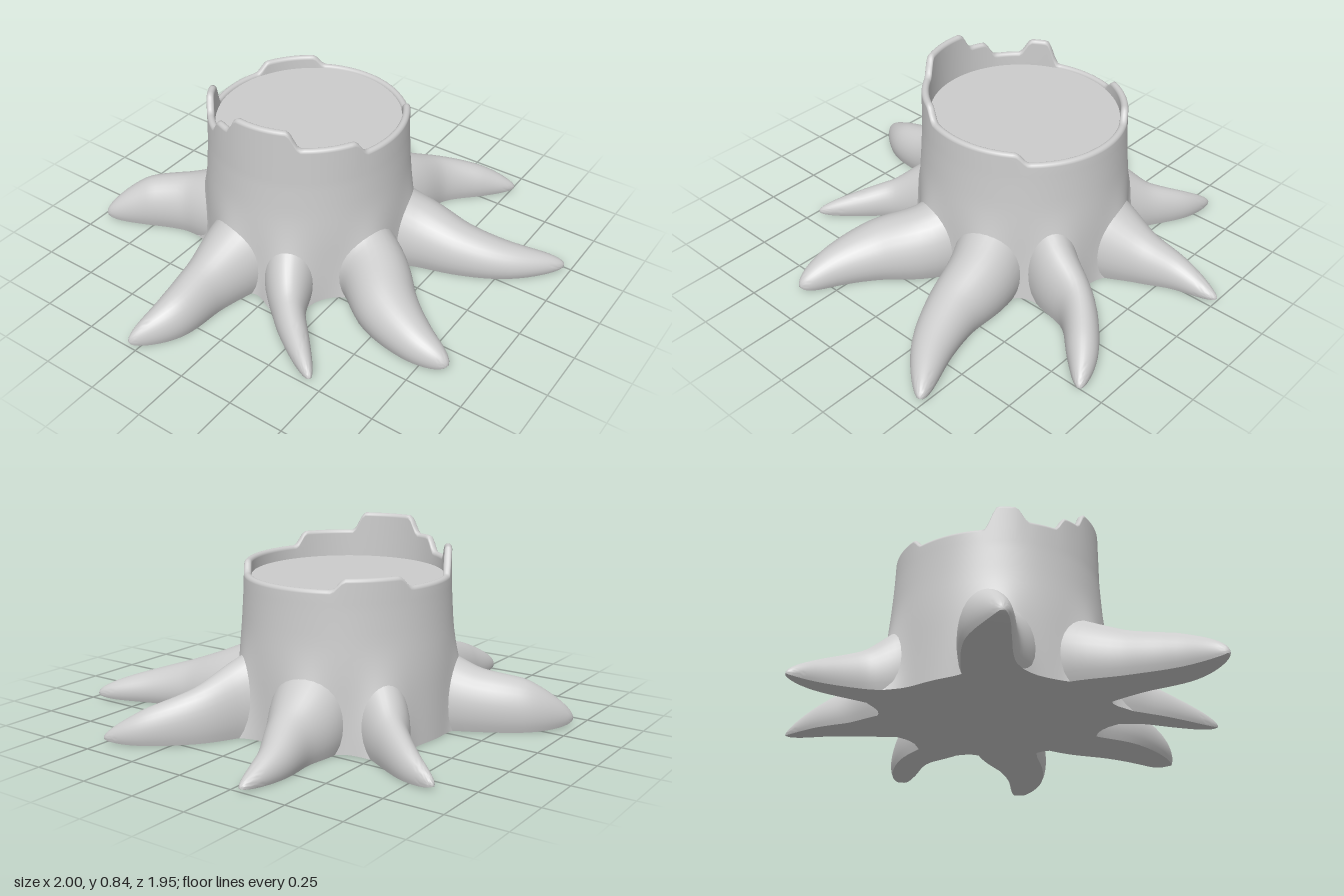
import * as THREE from 'three';
import { toCreasedNormals } from 'three/addons/utils/BufferGeometryUtils.js';

const CX = 0.055, CZ = -0.12, FLOOR = 0.642;

// Each root: stations of [x, z, half width, height] from trunk to tip
const ROOTS = {
  rootBackRight: [[-0.13, -0.47, 0.16, 0.33], [-0.18, -0.64, 0.12, 0.25], [-0.27, -0.81, 0.10, 0.21], [-0.41, -0.97, 0.045, 0.09]],
  rootBackLeft: [[0.33, -0.48, 0.11, 0.30], [0.42, -0.58, 0.075, 0.19], [0.52, -0.72, 0.052, 0.12], [0.58, -0.86, 0.024, 0.05]],
  rootLeft: [[0.50, -0.22, 0.16, 0.32], [0.65, -0.25, 0.105, 0.21], [0.80, -0.29, 0.07, 0.13], [1.0, -0.295, 0.03, 0.04]],
  rootFrontLeft: [[0.46, 0.14, 0.11, 0.32], [0.65, 0.22, 0.078, 0.22], [0.80, 0.37, 0.065, 0.14], [0.90, 0.51, 0.03, 0.05]],
  rootFrontA: [[0.23, 0.35, 0.15, 0.29], [0.27, 0.57, 0.115, 0.2], [0.34, 0.75, 0.088, 0.14], [0.49, 0.97, 0.04, 0.07]],
  rootFrontB: [[-0.11, 0.33, 0.155, 0.29], [-0.25, 0.50, 0.135, 0.22], [-0.33, 0.68, 0.092, 0.15], [-0.36, 0.86, 0.045, 0.08]],
  rootFrontRight: [[-0.36, 0.07, 0.11, 0.29], [-0.50, 0.17, 0.07, 0.16], [-0.60, 0.28, 0.055, 0.11], [-0.73, 0.44, 0.027, 0.05]],
  rootRight: [[-0.38, -0.20, 0.165, 0.32], [-0.60, -0.21, 0.11, 0.22], [-0.80, -0.215, 0.088, 0.17], [-1.0, -0.285, 0.035, 0.08]],
};

// Broken rim: from this angle on (degrees, +x towards +z) the rim has this height
const RIM = [[0, 0.655], [51, 0.70], [114, 0.76], [152, 0.84], [190, 0.765], [207, 0.70],
  [230, 0.765], [247, 0.655], [293, 0.70], [330, 0.655]];

const material = new THREE.MeshStandardMaterial({ color: 0xcccccc });

// Skin a list of closed rings of Vector3
function loft(rings) {
  const n = rings[0].length, index = [];
  for (let i = 0; i < rings.length - 1; i++) {
    for (let j = 0; j < n; j++) {
      const k = (j + 1) % n, a = i * n + j, b = i * n + k;
      index.push(a, a + n, b, b, a + n, b + n);
    }
  }
  const geometry = new THREE.BufferGeometry().setFromPoints(rings.flat());
  geometry.setIndex(index);
  geometry.computeVertexNormals();
  return geometry;
}

function rimHeight(deg) {
  let h = RIM[0][1];
  for (let i = 1; i < RIM.length; i++) {
    h += (RIM[i][1] - RIM[i - 1][1]) * THREE.MathUtils.smoothstep(deg, RIM[i][0] - 4, RIM[i][0] + 4);
  }
  return h;
}

const rootAngles = Object.values(ROOTS).map(([[x, z]]) => Math.atan2(z - CZ, x - CX));

// Trunk radius, swelling low down where a root leaves it
function trunkRadius(y, angle) {
  let swell = 0;
  for (const a of rootAngles) {
    const d = Math.atan2(Math.sin(angle - a), Math.cos(angle - a));
    swell += Math.exp(-((d / 0.2) ** 2));
  }
  const low = Math.max(0, 1 - y / 0.45);
  return 0.442 + 0.02 * THREE.MathUtils.smoothstep(0.7 - y, 0, 0.45) + 0.01 * low + 0.12 * low * low * Math.min(swell, 1);
}

function trunkPoint(radius, y, angle) {
  return new THREE.Vector3(CX + radius * 1.012 * Math.cos(angle), y, CZ + radius * 0.985 * Math.sin(angle));
}

function trunkRing(place, segments = 180) {
  return Array.from({ length: segments }, (_, j) => {
    const angle = (j / segments) * Math.PI * 2;
    const [inset, y] = place(rimHeight((j / segments) * 360));
    return trunkPoint(trunkRadius(y, angle) - inset, y, angle);
  });
}

// Outer wall, rounded rim, then the inner wall down below the cut face
function trunkGeometry() {
  const rings = [];
  for (let y = 0; y < 0.62; y += 0.04) rings.push(trunkRing(() => [0, y]));
  for (let i = 0; i <= 8; i++) {
    const a = (i / 8) * Math.PI;
    rings.push(trunkRing((h) => [0.016 * (1 - Math.cos(a)), h - 0.016 + 0.016 * Math.sin(a)]));
  }
  rings.push(trunkRing(() => [0.034, FLOOR - 0.01]));
  return loft(rings);
}

// Flat-bottomed tapering root with a rounded tip
function rootGeometry(stations) {
  const [x, z, w, h] = stations[0];
  const d = Math.hypot(x - CX, z - CZ), f = 0.27 / d;
  const all = [[CX + (x - CX) * f, CZ + (z - CZ) * f, w * 1.15, h + 0.12], ...stations];
  const path = new THREE.CatmullRomCurve3(all.map((s) => new THREE.Vector3(s[0], 0, s[1])));
  const size = new THREE.CatmullRomCurve3(all.map((s) => new THREE.Vector3(s[2], s[3], 0)));
  const rings = [], steps = 30, sides = 22;
  for (let i = 0; i <= steps; i++) {
    const t = 1 - (1 - i / steps) ** 1.6;
    const p = path.getPoint(t), dir = path.getTangent(t), s = size.getPoint(t);
    const taper = Math.sqrt(Math.max(0, 1 - t ** 16));
    const ring = [];
    for (let j = 0; j < sides; j++) {
      const a = -Math.PI / 6 + (j / (sides - 1)) * Math.PI * 4 / 3;
      const side = Math.cos(a) * s.x * taper;
      const y = s.y * (0.35 * (1 - taper) + taper * (0.5 + Math.sin(a)) / 1.5);
      ring.push(new THREE.Vector3(p.x - dir.z * side, Math.max(0, y), p.z + dir.x * side));
    }
    rings.push(ring);
  }
  return toCreasedNormals(loft(rings), 0.9);
}

// Flat disc following the trunk outline at one height
function discGeometry(inset, y, up) {
  const shape = new THREE.Shape(trunkRing(() => [inset, y], 90).map((p) => new THREE.Vector2(p.x, up ? -p.z : p.z)));
  return new THREE.ShapeGeometry(shape).rotateX(up ? -Math.PI / 2 : Math.PI / 2).translate(0, y, 0);
}

export function createModel() {
  const group = new THREE.Group();
  group.name = 'treeStump';
  const add = (name, geometry) => {
    const mesh = new THREE.Mesh(geometry, material);
    mesh.name = name;
    group.add(mesh);
  };
  add('trunk', trunkGeometry());
  add('cutFace', discGeometry(0.03, FLOOR, true));
  add('underside', discGeometry(0, 0, false));
  for (const [name, stations] of Object.entries(ROOTS)) add(name, rootGeometry(stations));
  return group;
}
